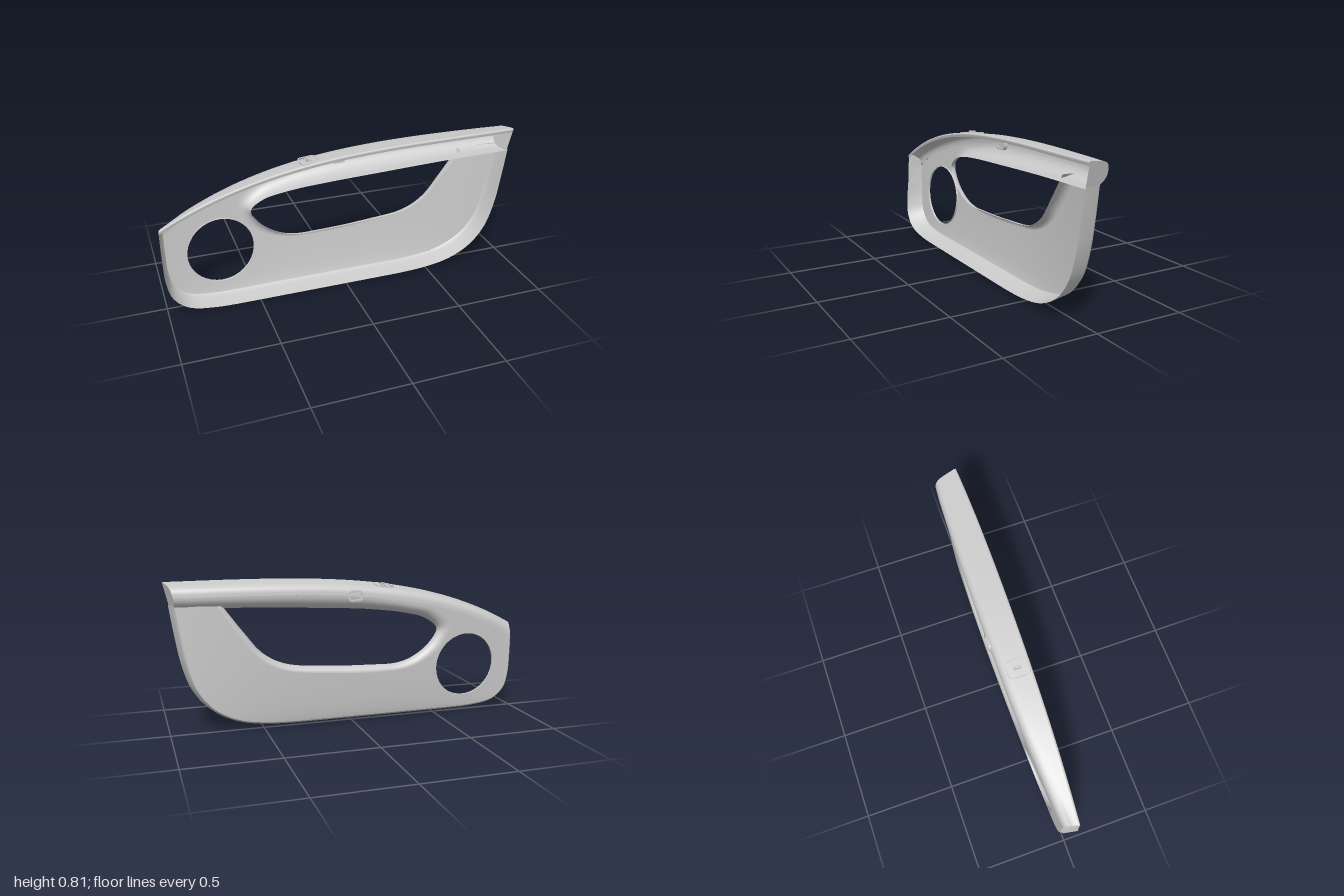
import * as THREE from 'three';

const mat = new THREE.MeshStandardMaterial({ color: 0xcccccc, side: THREE.DoubleSide });
const V = (x, y, z) => new THREE.Vector3(x, y, z);
const { smoothstep, lerp } = THREE.MathUtils;

// Depth of the gently bulging trim face
function faceZ(x, y) {
  const rise = 0.072 * Math.sqrt(Math.max(0.005, y - 0.01) / 0.69);
  return -0.017 - rise * Math.max(0, 1 - Math.pow(Math.abs(x + 0.05) / 1.05, 2.5));
}
// Armrest rail lines along x: top edge, rear crest and front edge
const topY = x => 0.81 - 0.31 * Math.pow((1 - x) / 2, 3.6);
const crestY = x => topY(x) - 0.07;
const crestZ = x => {
  const z = faceZ(x, crestY(x));
  return x > 0 ? Math.min(z, -0.09 + 0.03 * x * x) : z;
};
const frontZ = x => 0.087 - 0.037 * Math.pow((1 - x) / 2, 2) - 0.012 * Math.pow(Math.max(0, x), 4);

// Slants both ends of the rail
function slant(p) {
  const x = p.x;
  if (x > 0.85) p.x += smoothstep(x, 0.85, 1) * (0.23 * (p.y - 0.81) + 0.2 * (p.z - 0.075));
  if (x < -0.85) {
    const t = (frontZ(x) - p.z) / (frontZ(x) - crestZ(x));
    p.x += smoothstep(-x, 0.85, 1) * 0.025 * t;
  }
  return p;
}

function mesh(name, geo) {
  const m = new THREE.Mesh(geo, mat);
  m.name = name;
  return m;
}

// Smooth skin across a list of equal-length sections
function loft(name, sections) {
  const n = sections[0].length, idx = [];
  for (let i = 0; i < sections.length - 1; i++)
    for (let j = 0; j < n - 1; j++) {
      const a = i * n + j, b = a + n;
      idx.push(a, b, a + 1, b, b + 1, a + 1);
    }
  const geo = new THREE.BufferGeometry().setFromPoints(sections.flat());
  geo.setIndex(idx);
  geo.computeVertexNormals();
  return mesh(name, geo);
}

// Flat end cap over a loop of points
function cap(name, loop) {
  const flat = loop.map(p => new THREE.Vector2(p.z, p.y));
  const geo = new THREE.BufferGeometry().setFromPoints(loop);
  geo.setIndex(THREE.ShapeUtils.triangulateShape(flat, []).flat());
  geo.computeVertexNormals();
  return mesh(name, geo);
}

// Rail section from the rear crest, over the top, to the front lip
function railSection(x) {
  const t = topY(x), c = crestY(x), zb = crestZ(x), zf = frontZ(x);
  const pts = [[c, zb], [c + 0.025, zb + 0.003], [c + 0.043, zb + 0.013], [c + 0.054, zb + 0.032],
    [t - 0.008, lerp(zb, zf, 0.5)], [t - 0.001, zf - 0.018], [t, zf - 0.008], [t - 0.005, zf], [t - 0.022, zf - 0.003]];
  return new THREE.CatmullRomCurve3(pts.map(([y, z]) => V(x, y, z))).getPoints(24).map(slant);
}

// Window edge: x, y, z of the flange edge, then x, y where its fillet starts
const windowPts = [
  [1, 0.68, 0.07, 1, 0.74], [0.6, 0.668, 0.06, 0.6, 0.736], [0.2, 0.648, 0.05, 0.2, 0.72],
  [-0.1, 0.628, 0.035, -0.1, 0.7], [-0.3, 0.6, 0.01, -0.28, 0.667], [-0.44, 0.56, -0.01, -0.47, 0.62],
  [-0.505, 0.5, -0.02, -0.565, 0.53], [-0.46, 0.42, -0.02, -0.53, 0.42], [-0.36, 0.345, -0.02, -0.42, 0.33],
  [-0.26, 0.315, -0.02, -0.29, 0.288], [-0.1, 0.315, -0.02, -0.1, 0.28], [0.15, 0.327, -0.02, 0.15, 0.295],
  [0.38, 0.355, -0.015, 0.4, 0.33], [0.5, 0.42, -0.01, 0.53, 0.405], [0.6, 0.54, 0, 0.63, 0.53],
  [0.71, 0.69, 0.01, 0.74, 0.69]];
const STEPS = 120, RAIL_END = 24;

function windowSections() {
  const edge = new THREE.CatmullRomCurve3(windowPts.map(p => V(p[0], p[1], p[2]))).getPoints(STEPS);
  const start = new THREE.CatmullRomCurve3(windowPts.map(p => V(p[3], p[4], 0))).getPoints(STEPS);
  return edge.map((w, i) => {
    const d = start[i];
    if (i <= RAIL_END) d.set(d.x, crestY(d.x), crestZ(d.x));
    else d.z = faceZ(d.x, d.y);
    const r = Math.min(w.z - d.z, 1.2 * Math.hypot(w.x - d.x, w.y - d.y));
    const section = [];
    for (let k = 0; k <= 10; k++) {
      const a = k / 10 * Math.PI / 2, u = Math.sin(a);
      section.push(V(lerp(d.x, w.x, u), lerp(d.y, w.y, u), d.z + r * (1 - Math.cos(a))));
    }
    section.push(w.clone());
    return section.map(slant);
  });
}

// Rim wall running down the left end, along the bottom and up the right end
function rimSections() {
  const pts = [[-1, 0.43], [-1, 0.32], [-0.995, 0.2], [-0.965, 0.1], [-0.88, 0.03], [-0.74, 0.005], [-0.55, 0],
    [-0.1, 0], [0.3, 0], [0.5, 0.01], [0.65, 0.04], [0.78, 0.11], [0.87, 0.22], [0.92, 0.36], [0.95, 0.52], [0.975, 0.69]];
  const curve = new THREE.SplineCurve(pts.map(p => new THREE.Vector2(...p)));
  const n = 75;
  return Array.from({ length: n + 1 }, (_, i) => {
    const p = curve.getPoint(i / n), t = curve.getTangent(i / n);
    p.y = Math.max(0, p.y);
    const rim = p.x < 0 ? lerp(0.05, 0.08, smoothstep(0.43 - p.y, 0, 0.4)) : 0.08 - 0.012 * p.y;
    const at = (d, z) => V(p.x - t.y * d, p.y + t.x * d, z);
    const inner = at(0.027, 0), z = faceZ(inner.x, inner.y);
    if (i === 0) return [V(-1, 0.43, rim), V(-0.985, 0.43, lerp(rim, z, 0.8)), V(-0.975, 0.43, crestZ(-1))];
    return [at(0, rim), at(0.014, lerp(rim, z, 0.82)), at(0.027, z)];
  });
}

// Trim face, finely split so that it follows faceZ
function faceGeometry(outline, hole) {
  const shape = new THREE.Shape(outline.map(p => new THREE.Vector2(p.x, p.y)));
  shape.holes.push(new THREE.Path(hole.map(p => new THREE.Vector2(p.x, p.y))));
  const src = new THREE.ShapeGeometry(shape).toNonIndexed().getAttribute('position');
  const pos = [], nor = [], e = 0.004;
  const put = p => {
    pos.push(p.x, p.y, faceZ(p.x, p.y));
    const n = V(faceZ(p.x - e, p.y) - faceZ(p.x + e, p.y), faceZ(p.x, p.y - e) - faceZ(p.x, p.y + e), 2 * e).normalize();
    nor.push(n.x, n.y, n.z);
  };
  const split = (a, b, c, level) => {
    if (level === 0) return [a, b, c].forEach(put);
    const ab = a.clone().lerp(b, 0.5), bc = b.clone().lerp(c, 0.5), ca = c.clone().lerp(a, 0.5);
    [[a, ab, ca], [ab, b, bc], [ca, bc, c], [ab, bc, ca]].forEach(t => split(...t, level - 1));
  };
  for (let i = 0; i < src.count; i += 3)
    split(...[0, 1, 2].map(k => V().fromBufferAttribute(src, i + k)), 4);
  const geo = new THREE.BufferGeometry();
  geo.setAttribute('position', new THREE.Float32BufferAttribute(pos, 3));
  geo.setAttribute('normal', new THREE.Float32BufferAttribute(nor, 3));
  return geo;
}

function roundRect(S, w, h, r) {
  const s = new S(), x = w / 2 - r, y = h / 2 - r;
  s.absarc(x, y, r, 0, Math.PI / 2).absarc(-x, y, r, Math.PI / 2, Math.PI);
  s.absarc(-x, -y, r, Math.PI, Math.PI * 1.5).absarc(x, -y, r, Math.PI * 1.5, Math.PI * 2);
  s.closePath();
  return s;
}
function frame(w, h, r, border, depth) {
  const s = roundRect(THREE.Shape, w, h, r);
  if (border) s.holes.push(roundRect(THREE.Path, w - 2 * border, h - 2 * border, r - border));
  return new THREE.ExtrudeGeometry(s, { depth, bevelEnabled: false, curveSegments: 6 });
}

export function createModel() {
  const g = new THREE.Group();
  g.name = 'doorTrim';

  const rail = Array.from({ length: 81 }, (_, i) => railSection(-1 + i / 40));
  const win = windowSections(), rim = rimSections();
  g.add(loft('armrestRail', rail), loft('windowFlange', win), loft('rimWall', rim));

  // End caps of the rail
  g.add(cap('rightRailCap', [...rail[80], ...win[0].slice().reverse()]));
  g.add(cap('leftRailCap', [...rail[0], rim[0][0], rim[0][1]]));

  // Face between rim, window fillet and rail crest, with the round speaker opening
  const circle = Array.from({ length: 65 }, (_, i) => {
    const a = i / 32 * Math.PI;
    return V(-0.677 + 0.183 * Math.cos(a), 0.283 + 0.183 * Math.sin(a), 0);
  });
  const crest = [];
  for (let i = 1; i < 36; i++) crest.push(rail[36 - i][0]);
  const outline = [...rim.map(s => s[2]), ...win.slice(RAIL_END).reverse().map(s => s[0]), ...crest];
  g.add(mesh('trimFace', faceGeometry(outline, circle.slice(0, 64))));
  g.add(loft('speakerOpeningEdge', circle.map(p => {
    const z = faceZ(p.x, p.y);
    return [V(p.x, p.y, z), V(p.x, p.y, z + 0.012)];
  })));

  // Release button bezel through the back of the rail
  const bezel = mesh('buttonBezel', frame(0.09, 0.06, 0.027, 0.012, 0.03));
  bezel.position.set(0.003, 0.716, -0.094);
  const button = mesh('button', frame(0.066, 0.036, 0.015, 0, 0.015));
  button.position.set(0.003, 0.716, -0.085);
  g.add(bezel, button);

  // Lock plate and pin on top of the rail
  const lock = new THREE.Group();
  lock.name = 'lockPlate';
  const plate = mesh('plateFrame', frame(0.1, 0.12, 0.025, 0.006, 0.006));
  const slot = mesh('pinCollar', frame(0.022, 0.046, 0.008, 0.004, 0.01));
  const pin = mesh('lockPin', new THREE.BoxGeometry(0.01, 0.034, 0.03));
  lock.add(plate, slot, pin);
  lock.rotation.set(-Math.PI / 2 - 0.06, -0.1, 0);
  lock.position.set(-0.187, topY(-0.187) - 0.008, 0.005);
  g.add(lock);
  return g;
}
